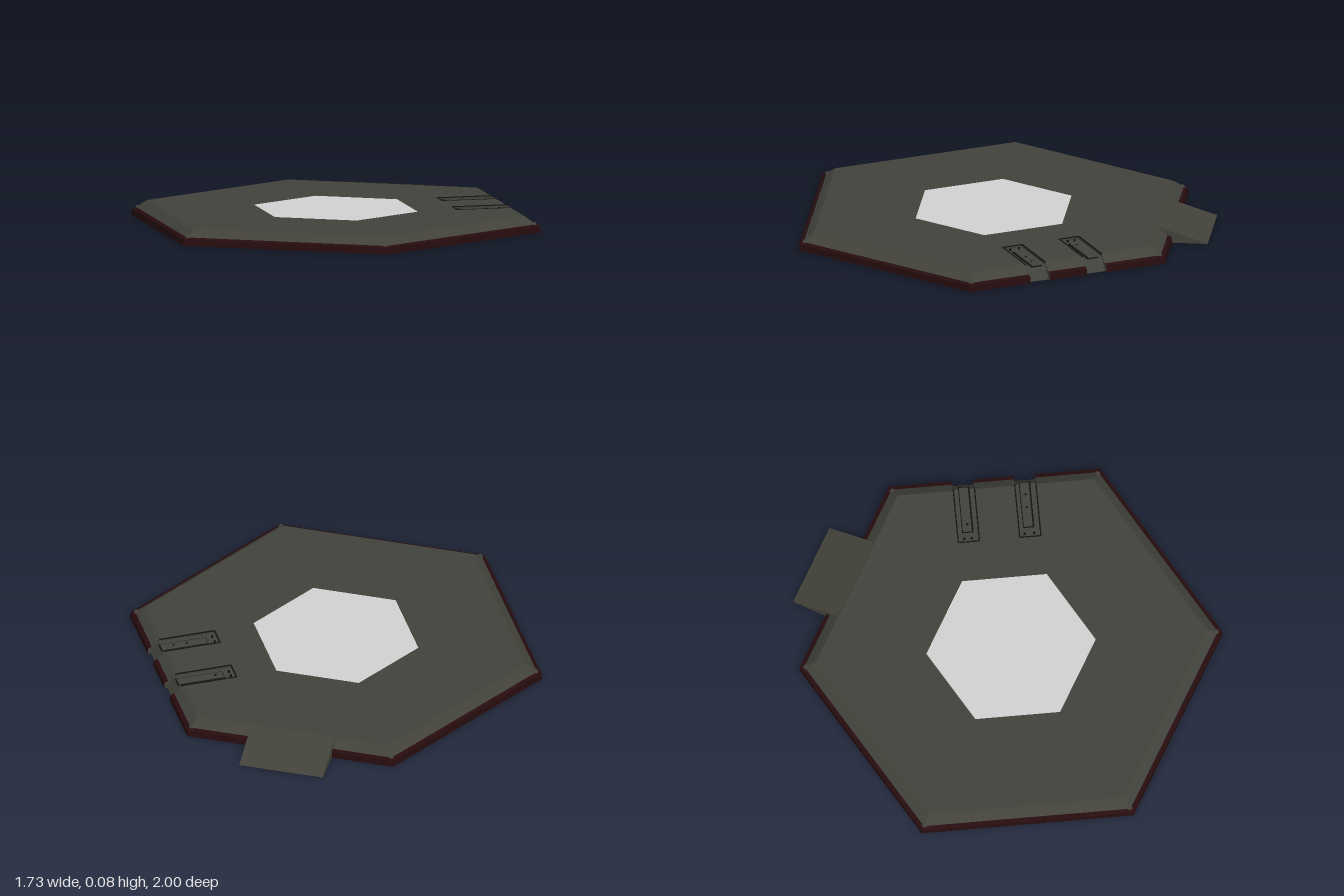
import * as THREE from 'three';

const TOP = 0.073, FLOOR = 0.059, COS30 = Math.cos(Math.PI / 6), TAN30 = Math.tan(Math.PI / 6);
const SLOTS = [
  { z0: -0.2, z1: -0.1, plateZ: -0.15, bolts: [[0.56, -0.17], [0.56, -0.135], [0.63, -0.15]] },
  { z0: 0.09, z1: 0.19, plateZ: 0.137, bolts: [[0.56, 0.115], [0.56, 0.16], [0.69, 0.137], [0.755, 0.137]] },
];
// rim profile as [apothem, height], from the ground up to the deck
const RIM = [[0.866, 0], [0.864, 0.03], [0.845, 0.037], [0.815, 0.062], [0.8, TOP]];

const material = (name, color) => {
  const m = new THREE.MeshStandardMaterial({ color, side: THREE.DoubleSide });
  m.name = name;
  return m;
};

// flat-shaded mesh from a list of four-cornered faces
function quadMesh(name, quads, mat) {
  const pos = [];
  for (const [a, b, c, d] of quads) pos.push(...a, ...b, ...c, ...a, ...c, ...d);
  const geo = new THREE.BufferGeometry();
  geo.setAttribute('position', new THREE.Float32BufferAttribute(pos, 3));
  geo.computeVertexNormals();
  const mesh = new THREE.Mesh(geo, mat);
  mesh.name = name;
  return mesh;
}

// corners of a pointed hexagon on the x-z plane
const hexPoints = (r) => Array.from({ length: 6 }, (_, i) => {
  const a = Math.PI / 6 + i * Math.PI / 3;
  return new THREE.Vector2(r * Math.cos(a), r * Math.sin(a));
});
const flip = (pts) => pts.map((p) => new THREE.Vector2(p.x, -p.y));

function flatMesh(name, shape, y, mat) {
  const mesh = new THREE.Mesh(new THREE.ShapeGeometry(shape).rotateX(-Math.PI / 2), mat);
  mesh.position.y = y;
  mesh.name = name;
  return mesh;
}

function box(name, w, h, d, x, y, z, mat) {
  const mesh = new THREE.Mesh(new THREE.BoxGeometry(w, h, d), mat);
  mesh.position.set(x, y, z);
  mesh.name = name;
  return mesh;
}

// faces of one profile step around all six sides, leaving the slots open at +x
function rimQuads([a0, y0], [a1, y1]) {
  const quads = [];
  for (let k = 0; k < 6; k++) {
    const c = Math.cos(k * Math.PI / 3), s = Math.sin(k * Math.PI / 3);
    const at = (a, y, t) => [a * c - t * s, y, a * s + t * c];
    const stops = k === 0 ? [null, ...SLOTS.flatMap((o) => [o.z0, o.z1]), null] : [null, null];
    for (let i = 0; i < stops.length; i += 2) {
      const lo = (a) => stops[i] ?? -a * TAN30, hi = (a) => stops[i + 1] ?? a * TAN30;
      quads.push([at(a0, y0, lo(a0)), at(a1, y1, lo(a1)), at(a1, y1, hi(a1)), at(a0, y0, hi(a0))]);
    }
  }
  return quads;
}

export function createModel() {
  const olive = material('dark olive', 0x42423b);
  const red = material('dark red', 0x260c0e);
  const light = material('light grey', 0xd0d0d0);
  const black = material('black', 0x121311);
  const group = new THREE.Group();
  group.name = 'hexagonalPad';

  // deck with a hexagonal window and two slots notched into the +x edge
  const outline = hexPoints(0.8 / COS30);
  for (const { z0, z1 } of SLOTS) {
    for (const [x, z] of [[0.8, z0], [0.54, z0], [0.54, z1], [0.8, z1]]) outline.push(new THREE.Vector2(x, z));
  }
  const deck = new THREE.Shape(flip(outline));
  deck.holes.push(new THREE.Path(flip(hexPoints(0.4))));
  group.add(flatMesh('deck', deck, TOP, olive));
  group.add(flatMesh('centrePanel', new THREE.Shape(flip(hexPoints(0.4))), TOP, light));

  // square sheet under the deck
  const sheet = new THREE.Mesh(new THREE.PlaneGeometry(1.14, 1.14).rotateX(-Math.PI / 2), light);
  sheet.position.y = 0.053;
  sheet.name = 'undersideSheet';
  group.add(sheet);

  // rim: red skirt below, olive bevel above
  group.add(quadMesh('skirt', [...rimQuads(RIM[0], RIM[1]), ...rimQuads(RIM[1], RIM[2])], red));
  group.add(quadMesh('bevel', [...rimQuads(RIM[2], RIM[3]), ...rimQuads(RIM[3], RIM[4])], olive));

  // small caps on the six corners
  for (const p of hexPoints(0.968)) {
    const cap = new THREE.Mesh(new THREE.CylinderGeometry(0.008, 0.014, 0.01, 8), olive);
    cap.position.set(p.x, 0.041, p.y);
    cap.name = 'cornerCap';
    group.add(cap);
  }

  // slots: walls, floor running out over the edge, inset plate and bolts
  for (const { z0, z1, plateZ, bolts } of SLOTS) {
    const slot = new THREE.Group();
    slot.name = 'slot';
    const faces = [
      [[0.54, FLOOR, z0], [0.54, FLOOR, z1], [0.54, TOP, z1], [0.54, TOP, z0]],
      [[0.54, FLOOR, z0], [0.54, FLOOR, z1], [0.81, FLOOR, z1], [0.81, FLOOR, z0]],
      [[0.81, FLOOR, z0], [0.81, FLOOR, z1], [0.85, 0, z1], [0.85, 0, z0]],
    ];
    for (const z of [z0, z1]) {
      faces.push([[0.54, FLOOR, z], [0.81, FLOOR, z], [0.8, TOP, z], [0.54, TOP, z]]);
      faces.push([[0.81, FLOOR, z], [0.85, 0, z], [0.866, 0, z], [0.864, 0.03, z]]);
      faces.push([[0.81, FLOOR, z], [0.864, 0.03, z], [0.845, 0.037, z], [0.8, TOP, z]]);
      // dark lip along each wall
      slot.add(box('slotLip', 0.27, 0.004, 0.006, 0.675, TOP, z, black));
    }
    slot.add(quadMesh('slotChannel', faces, olive));
    slot.add(box('slotEndLip', 0.006, 0.004, z1 - z0, 0.54, TOP, (z0 + z1) / 2, black));
    slot.add(box('plateBorder', 0.23, 0.004, 0.054, 0.705, FLOOR + 0.002, plateZ, black));
    slot.add(box('insetPlate', 0.22, 0.008, 0.042, 0.704, FLOOR + 0.004, plateZ - 0.002, olive));
    for (const [x, z] of bolts) {
      const bolt = new THREE.Mesh(new THREE.CylinderGeometry(0.006, 0.006, 0.01, 8), black);
      bolt.position.set(x, FLOOR + 0.005, z);
      bolt.name = 'bolt';
      slot.add(bolt);
    }
    group.add(slot);
  }

  // wedge ramp over the back edge towards +x, built along its own outward axis
  const at = (d, y, t) => [0.5 * d + COS30 * t, y, -COS30 * d + 0.5 * t];
  const IN = 0.805, OUT = 1.035, W = 0.203, H = TOP + 0.002;
  const ramp = [[at(IN, H, -W), at(OUT, 0.002, -W), at(OUT, 0.002, W), at(IN, H, W)]];
  for (const t of [-W, W]) {
    ramp.push([at(IN, H, t), at(0.866, 0, t), at(OUT, 0, t), at(OUT, 0.002, t)]);
  }
  group.add(quadMesh('ramp', ramp, olive));

  return group;
}
